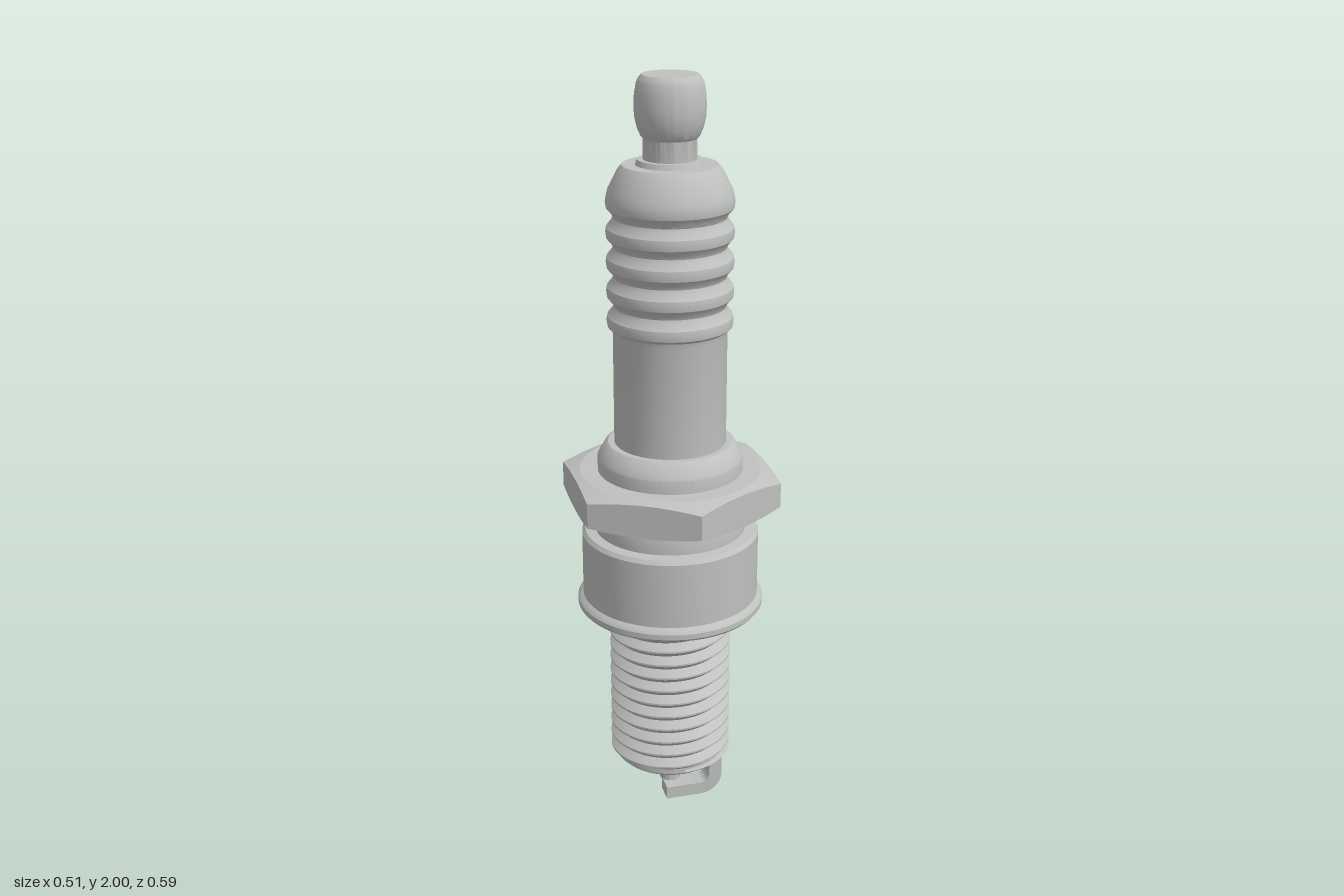
import * as THREE from 'three';
import { toCreasedNormals } from 'three/addons/utils/BufferGeometryUtils.js';

const steel = new THREE.MeshStandardMaterial({ color: 0xbfc1bf });
steel.name = 'grey steel';

const lathe = (pts, segs = 72) =>
  new THREE.LatheGeometry(pts.map(([r, y]) => new THREE.Vector2(r, y)), segs);

export function createModel() {
  const model = new THREE.Group();
  const add = (name, geometry, crease = 0.5) => {
    const mesh = new THREE.Mesh(toCreasedNormals(geometry, crease), steel);
    mesh.name = name;
    model.add(mesh);
  };

  // Terminal: rounded nut on a narrow neck
  add('terminal', lathe([
    [0.066, 1.78], [0.066, 1.85], [0.072, 1.857], [0.08, 1.875], [0.086, 1.9],
    [0.0875, 1.925], [0.086, 1.955], [0.081, 1.982], [0.076, 1.992], [0.069, 2], [0, 2],
  ]));

  // Ceramic insulator: smooth barrel, five ribs, sloped shoulder
  const insulator = [[0.144, 1.0], [0.144, 1.365], [0.147, 1.378]];
  for (let i = 0; i < 5; i++) {
    const y = 1.4 + i * 0.0745;
    insulator.push([0.157, y - 0.014], [0.159, y], [0.157, y + 0.012]);
    if (i < 4) insulator.push([0.144, y + 0.028], [0.141, y + 0.037], [0.144, y + 0.046]);
  }
  insulator.push([0.153, 1.727], [0.128, 1.775], [0.118, 1.787], [0.085, 1.787], [0.08, 1.8], [0, 1.8]);
  add('insulator', lathe(insulator));

  // Crimped collar above the hexagon
  add('collar', lathe([
    [0.188, 0.99], [0.188, 1.035], [0.182, 1.046], [0.168, 1.07], [0.16, 1.076], [0.14, 1.076],
  ]));

  // Hexagon with corners on the z axis and conical chamfers above and below
  const hex = lathe([[0.15, 0.9], [0.235, 0.9], [1, 0.9], [1, 1], [0.235, 1], [0.15, 1]]);
  const p = hex.attributes.position;
  for (let i = 0; i < p.count; i++) {
    const k = i % 6;
    if (k !== 2 && k !== 3) continue;
    const a = Math.floor(i / 6) * Math.PI * 2 / 72;
    const r = 0.254 / Math.cos((a + 1e-6) % (Math.PI / 3) - Math.PI / 6);
    const drop = (r - 0.235) * 0.3;
    p.setXYZ(i, Math.sin(a) * r, k === 2 ? 0.9 + drop : 1 - drop, Math.cos(a) * r);
  }
  add('hexagon', hex, 0.2);

  // Shell body below the hexagon, with the seat flange
  add('shell', lathe([
    [0.14, 0.615], [0.24, 0.615], [0.246, 0.622], [0.246, 0.636], [0.24, 0.645],
    [0.232, 0.65], [0.232, 0.825], [0.224, 0.835], [0.198, 0.838], [0.198, 0.885],
    [0.19, 0.905],
  ]));

  // Helical thread: each ring of the profile climbs one pitch per turn
  const pitch = 0.039, low = 0.17, high = 0.602, profile = [];
  for (let i = -1; i < 13; i++) {
    const y = low + i * pitch;
    profile.push([0.144, y], [0.163, y + pitch * 0.44], [0.163, y + pitch * 0.56]);
  }
  const thread = lathe(profile);
  const t = thread.attributes.position;
  for (let i = 0; i < t.count; i++) {
    const turn = Math.floor(i / profile.length) / 72;
    t.setY(i, THREE.MathUtils.clamp(t.getY(i) + turn * pitch, low, high));
  }
  add('thread', thread, 0.6);
  add('threadNeck', lathe([[0.148, 0.595], [0.15, 0.62]]));

  // Open lower end of the shell with its recessed bore
  add('shellEnd', lathe([
    [0, 0.3], [0.1, 0.3], [0.1, 0.158], [0.104, 0.152], [0.142, 0.152], [0.15, 0.16], [0.15, 0.18],
  ]));

  // Insulator nose and centre electrode
  add('insulatorNose', lathe([[0, 0.09], [0.04, 0.09], [0.045, 0.096], [0.064, 0.15], [0.078, 0.3]]));
  add('centreElectrode', lathe([[0, 0.06], [0.029, 0.06], [0.029, 0.1]], 48));

  // Ground electrode: bent strap reaching under the centre electrode
  const strap = new THREE.Shape();
  strap.moveTo(-0.016, 0);
  strap.lineTo(0.083, 0);
  strap.absarc(0.083, 0.06, 0.06, -Math.PI / 2, 0, false);
  strap.lineTo(0.143, 0.16);
  strap.lineTo(0.107, 0.16);
  strap.lineTo(0.107, 0.06);
  strap.absarc(0.083, 0.06, 0.024, 0, -Math.PI / 2, true);
  strap.lineTo(-0.016, 0.036);
  strap.closePath();
  const strapGeometry = new THREE.ExtrudeGeometry(strap, { depth: 0.054, bevelEnabled: false, curveSegments: 16 });
  strapGeometry.translate(0, 0, -0.027);
  add('groundElectrode', strapGeometry);

  return model;
}
